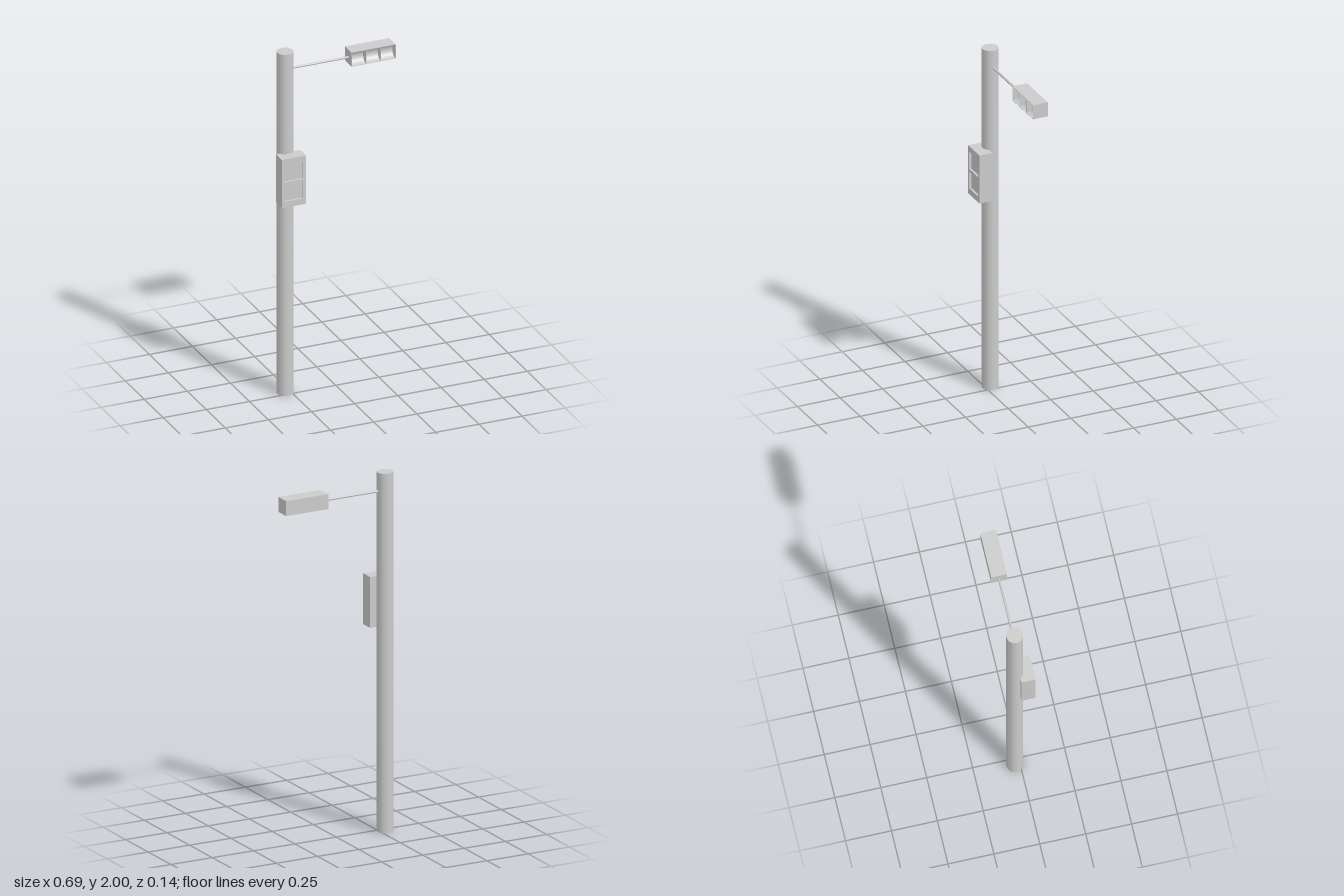
import * as THREE from 'three';

const material = new THREE.MeshStandardMaterial({ color: 0xcccccc });
const flat = new THREE.MeshStandardMaterial({ color: 0xcccccc, flatShading: true });

function add(parent, name, geometry, mat, x = 0, y = 0, z = 0) {
  const mesh = new THREE.Mesh(geometry, mat);
  mesh.name = name;
  mesh.position.set(x, y, z);
  parent.add(mesh);
  return mesh;
}

// Rectangle outline, used for the cabinet face and its windows
function rect(path, x0, x1, y0, y1) {
  path.moveTo(x0, y0);
  path.lineTo(x1, y0);
  path.lineTo(x1, y1);
  path.lineTo(x0, y1);
  path.closePath();
  return path;
}

function createSignalBox() {
  const group = new THREE.Group();
  group.name = 'signalBox';
  const x0 = -0.343, x1 = -0.203, y0 = 1.134, y1 = 1.417, back = -0.005, front = 0.072;
  const recess = 0.012;
  const face = rect(new THREE.Shape(), x0, x1, y0, y1);
  for (const [a, b] of [[1.169, 1.267], [1.283, 1.384]]) {
    face.holes.push(rect(new THREE.Path(), -0.33, -0.22, a, b));
  }
  const depth = front - recess - back;
  add(group, 'signalBoxBody', new THREE.BoxGeometry(x1 - x0, y1 - y0, depth), flat,
    (x0 + x1) / 2, (y0 + y1) / 2, back + depth / 2);
  add(group, 'signalBoxWindowFrame', new THREE.ExtrudeGeometry(face, { depth: recess, bevelEnabled: false }),
    flat, 0, 0, front - recess);
  return group;
}

function createLampHead() {
  const group = new THREE.Group();
  group.name = 'lampHead';
  const x0 = 0.085, x1 = 0.342, y0 = 1.858, y1 = 1.941, front = 0.015, back = -0.071;
  const wall = 0.003, lip = 0.002;
  const pitch = (x1 - x0 - wall) / 3;

  // Cross-section with a round hollow in its front; shape x runs toward the back
  const section = new THREE.Shape();
  section.moveTo(-front, y0);
  section.lineTo(-back, y0);
  section.lineTo(-back, y1);
  section.lineTo(-front, y1);
  section.absarc(-front, (y0 + y1) / 2, (y1 - y0) / 2 - lip, Math.PI / 2, -Math.PI / 2, true);
  section.closePath();

  for (let i = 0; i < 3; i++) {
    const cell = new THREE.ExtrudeGeometry(section, { depth: pitch - wall, bevelEnabled: false, curveSegments: 16 });
    cell.rotateY(Math.PI / 2);
    add(group, 'lampCell' + (i + 1), cell, material, x0 + wall + i * pitch);
  }
  // Thin end walls and dividers
  for (let i = 0; i < 4; i++) {
    add(group, 'lampDivider' + (i + 1), new THREE.BoxGeometry(wall, y1 - y0, front - back), flat,
      x0 + wall / 2 + i * pitch, (y0 + y1) / 2, (front + back) / 2);
  }
  return group;
}

export function createModel() {
  const model = new THREE.Group();
  model.name = 'signalPost';
  const poleX = -0.281, poleZ = -0.028;

  add(model, 'pole', new THREE.CylinderGeometry(0.046, 0.046, 2, 13), material, poleX, 1, poleZ);

  // Slim arm from the pole to the lamp head
  const armEnd = 0.09, length = armEnd - poleX;
  const arm = new THREE.CylinderGeometry(0.0065, 0.0065, length, 12);
  arm.rotateZ(Math.PI / 2);
  add(model, 'arm', arm, material, poleX + length / 2, 1.896, poleZ);

  model.add(createSignalBox(), createLampHead());
  return model;
}
